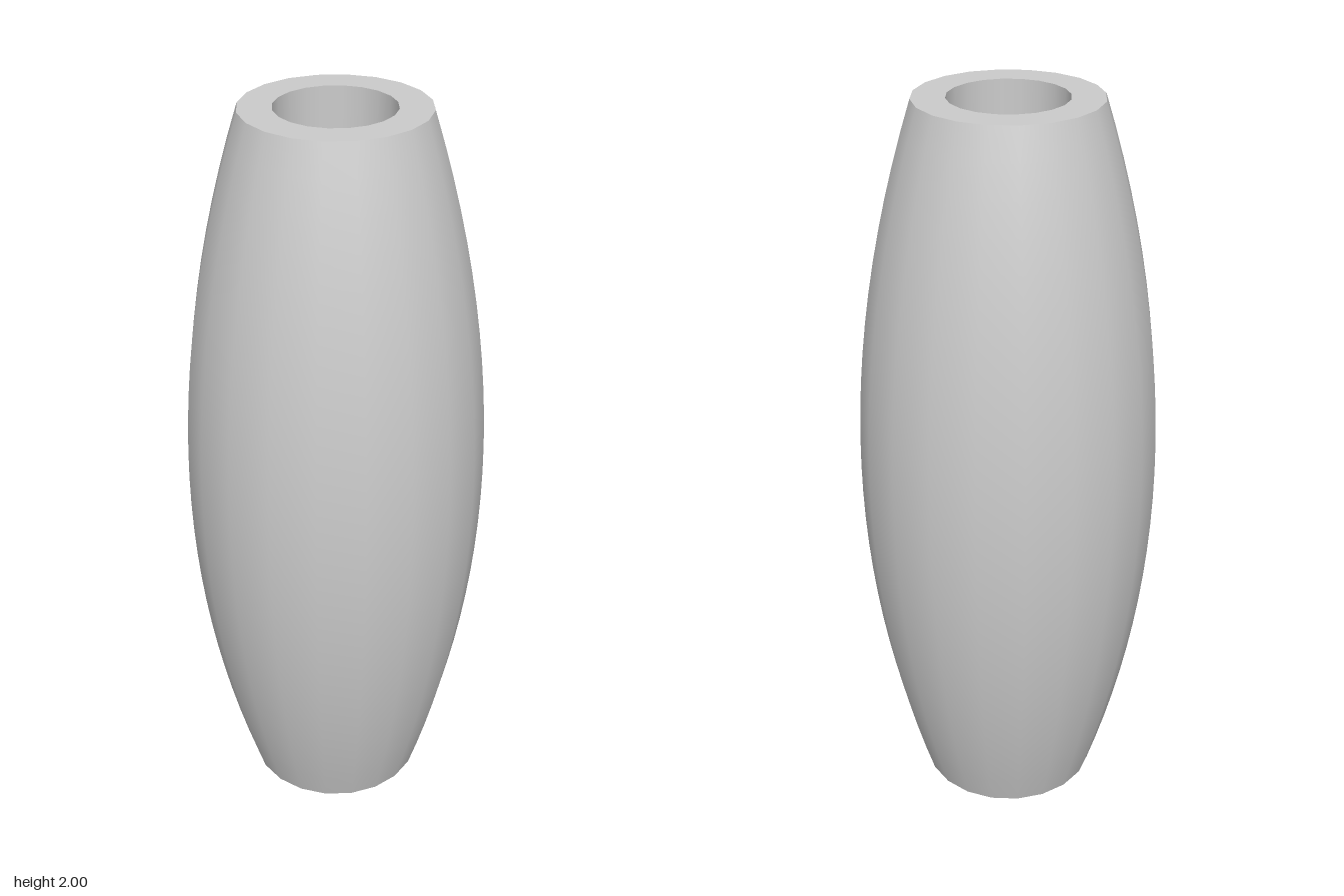
import * as THREE from 'three';

const SIDES = 20;
const HEIGHT = 2;
const END_RADIUS = 0.24;
const BELLY_RADIUS = 0.4;
const BORE_RADIUS = 0.154;
const FLOOR_Y = 0.1;

export function createModel() {
  const group = new THREE.Group();
  group.name = 'barrelVessel';
  const material = new THREE.MeshStandardMaterial({ color: 0xcccccc });

  // Each section is its own lathe, so edges between sections stay sharp
  const addLathe = (name, points) => {
    const profile = points.map(([r, y]) => new THREE.Vector2(r, y));
    const mesh = new THREE.Mesh(new THREE.LatheGeometry(profile, SIDES), material);
    mesh.name = name;
    group.add(mesh);
  };

  // Bulging outer wall: radius follows a shallow parabola
  const wall = [];
  const steps = 24;
  for (let i = 0; i <= steps; i++) {
    const t = (2 * i) / steps - 1;
    wall.push([BELLY_RADIUS - (BELLY_RADIUS - END_RADIUS) * t * t, (HEIGHT * i) / steps]);
  }

  // Profile runs from the base centre, up the outside and down the bore
  addLathe('base', [[0, 0], [END_RADIUS, 0]]);
  addLathe('outerWall', wall);
  addLathe('rim', [[END_RADIUS, HEIGHT], [BORE_RADIUS, HEIGHT]]);
  addLathe('boreWall', [[BORE_RADIUS, HEIGHT], [BORE_RADIUS, FLOOR_Y]]);
  addLathe('boreFloor', [[BORE_RADIUS, FLOOR_Y], [0, FLOOR_Y]]);

  return group;
}
